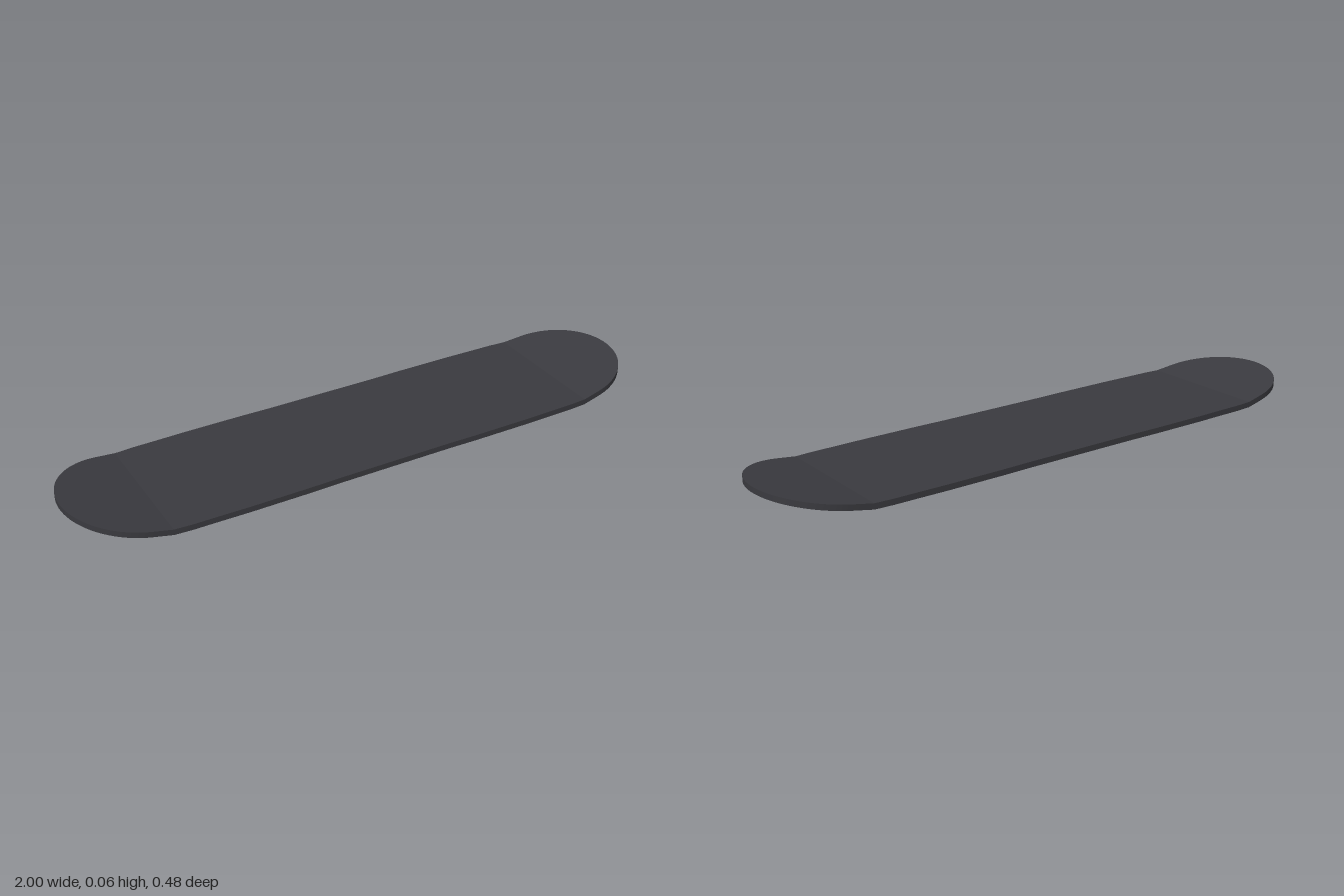
import * as THREE from 'three';
import { toCreasedNormals } from 'three/addons/utils/BufferGeometryUtils.js';

const THICKNESS = 0.019;
const KICK_START = 0.74, KICK_RISE = 0.042;
const CAP_START = 0.8, CAP_CENTRE = 0.78, CAP_WIDTH = 0.227;

// half-length stations: straight middle, gentle taper, rounded tip
const stations = [[0, 0.238], [0.2, 0.238], [0.3, 0.24], [0.5, 0.24], [0.6, 0.238], [0.68, 0.237], [KICK_START, 0.233]];
const startAngle = Math.acos((CAP_START - CAP_CENTRE) / (1 - CAP_CENTRE));
const CAP_STEPS = 20;
for (let i = 0; i <= CAP_STEPS; i++) {
  const a = startAngle * (1 - i / CAP_STEPS);
  stations.push([CAP_CENTRE + (1 - CAP_CENTRE) * Math.cos(a), CAP_WIDTH * Math.sin(a)]);
}

// upturned nose and tail
function kick(x) {
  return Math.max(0, (x - KICK_START) / (1 - KICK_START)) * KICK_RISE;
}

// a thin box whose columns slide to the stations, narrow to the outline and lift at the ends
function deckGeometry() {
  const half = stations.length - 1;
  const geo = new THREE.BoxGeometry(2 * half, THICKNESS, 2, 2 * half, 1, 1);
  const pos = geo.attributes.position;
  for (let i = 0; i < pos.count; i++) {
    const column = Math.round(pos.getX(i));
    const [x, halfWidth] = stations[Math.abs(column)];
    pos.setXYZ(i, Math.sign(column) * x, pos.getY(i) + THICKNESS / 2 + kick(x), pos.getZ(i) * halfWidth);
  }
  return toCreasedNormals(geo, 0.13);
}

export function createModel() {
  const model = new THREE.Group();
  model.name = 'skateboardDeck';
  const charcoal = new THREE.MeshStandardMaterial({ color: 0x3a3a3f });
  charcoal.name = 'charcoal';
  const deck = new THREE.Mesh(deckGeometry(), charcoal);
  deck.name = 'deck';
  model.add(deck);
  return model;
}
